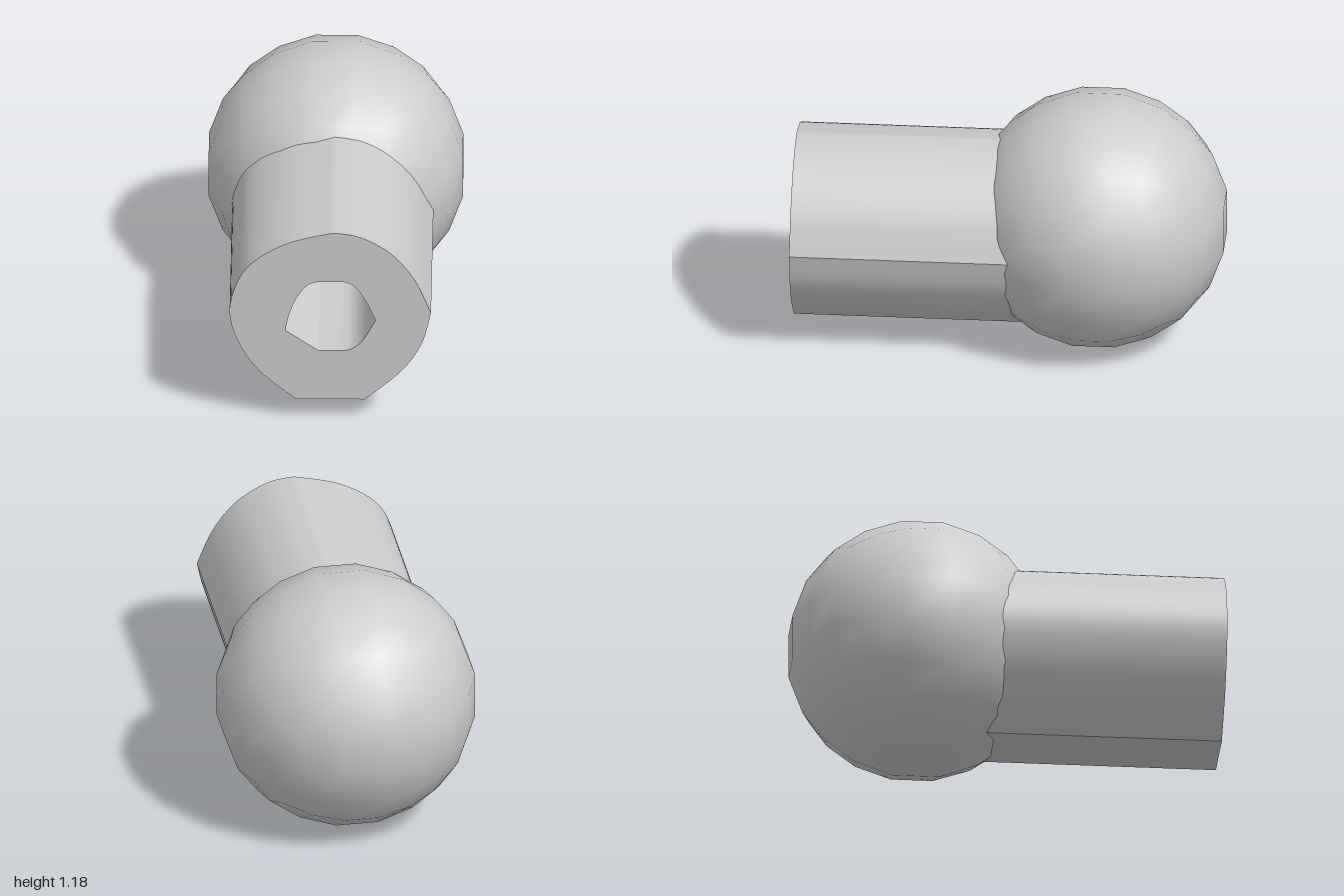
import * as THREE from 'three';
import { toCreasedNormals } from 'three/addons/utils/BufferGeometryUtils.js';

const material = new THREE.MeshStandardMaterial({ color: 0xcccccc });

// Traces straight and curved runs; each run starts where the last one ended.
function trace(path, runs) {
  path.moveTo(...runs[0][0]);
  for (const run of runs) {
    path.splineThru(run.slice(1).map(([x, y]) => new THREE.Vector2(x, y)));
  }
  return path;
}

// Ball: a cube of 5 x 5 panels per side, blown up to a sphere.
function ballGeometry(radius) {
  const geometry = new THREE.BoxGeometry(2, 2, 2, 5, 5, 5);
  const position = geometry.attributes.position;
  const spread = (t) => Math.sign(t) * (Math.abs(t) > 0.9 ? 1 : Math.abs(t) * 0.927);
  const v = new THREE.Vector3();
  for (let i = 0; i < position.count; i++) {
    v.fromBufferAttribute(position, i);
    v.set(spread(v.x), spread(v.y), spread(v.z)).normalize();
    geometry.attributes.normal.setXYZ(i, v.x, v.y, v.z);
    position.setXYZ(i, v.x * radius, v.y * radius, v.z * radius);
  }
  return geometry;
}

// Shaft: uneven rounded outline with a flat underside and a through bore.
function shaftGeometry(back, front) {
  const outline = trace(new THREE.Shape(), [
    [[-0.17, 0.11], [0.15, 0.11]],
    [[0.15, 0.11], [0.32, 0.26], [0.415, 0.407], [0.457, 0.566]],
    [[0.457, 0.566], [0.384, 0.733], [0.289, 0.859], [0.194, 0.929], [0.1, 0.97], [0, 0.983]],
    [[0, 0.983], [-0.197, 0.932], [-0.352, 0.843], [-0.438, 0.733], [-0.478, 0.57],
      [-0.437, 0.407], [-0.336, 0.253], [-0.17, 0.11]],
  ]);
  outline.holes.push(trace(new THREE.Path(), [
    [[-0.22, 0.47], [-0.065, 0.365]],
    [[-0.065, 0.365], [0.04, 0.365]],
    [[0.04, 0.365], [0.09, 0.376], [0.14, 0.42], [0.2, 0.525]],
    [[0.2, 0.525], [0.15, 0.635], [0.1, 0.705], [0.05, 0.727]],
    [[0.05, 0.727], [-0.07, 0.727]],
    [[-0.07, 0.727], [-0.12, 0.705], [-0.165, 0.645], [-0.2, 0.56], [-0.22, 0.47]],
  ]));
  const geometry = new THREE.ExtrudeGeometry(outline, {
    depth: front - back, bevelEnabled: false, curveSegments: 6,
  });
  geometry.translate(0, 0, back);
  return toCreasedNormals(geometry, Math.PI / 7);
}

export function createModel() {
  const model = new THREE.Group();
  model.name = 'ballEndedShaft';

  const ball = new THREE.Mesh(ballGeometry(0.61), material);
  ball.name = 'ball';
  ball.position.set(0, 0.595, -0.405);

  // The shaft runs into the ball, which closes the bore at its inner end.
  const shaft = new THREE.Mesh(shaftGeometry(-0.3, 1), material);
  shaft.name = 'shaft';

  model.add(ball, shaft);
  return model;
}
